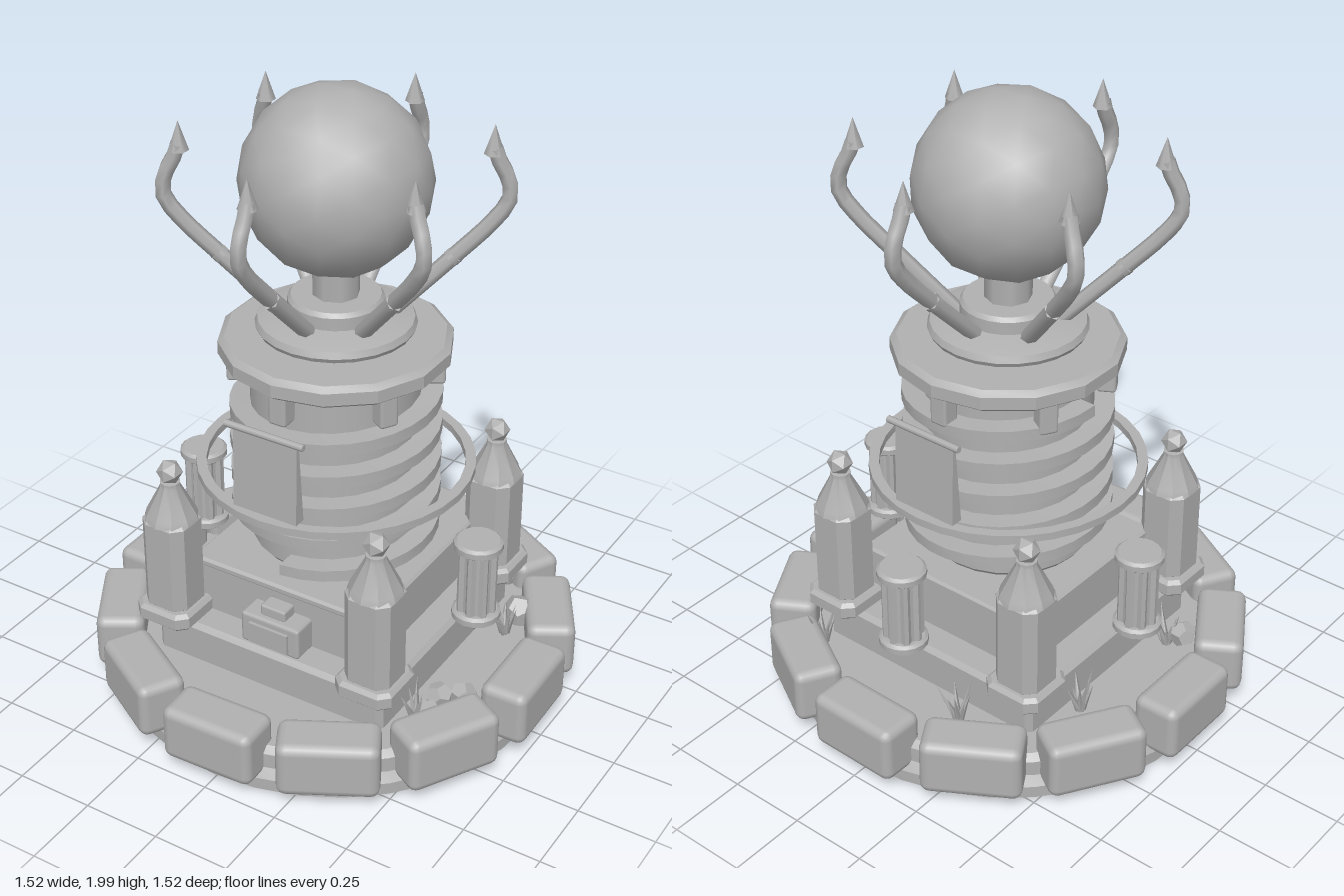
import * as THREE from 'three';
import { toCreasedNormals } from 'three/addons/utils/BufferGeometryUtils.js';
import { RoundedBoxGeometry } from 'three/addons/geometries/RoundedBoxGeometry.js';

export function createModel() {
  const model = new THREE.Group();
  model.name = 'orbTower';
  const stone = new THREE.MeshStandardMaterial({ color: 0xb0b0b0 });
  stone.name = 'grey stone';

  const add = (name, geo, x = 0, y = 0, z = 0, parent = model) => {
    const m = new THREE.Mesh(geo, stone);
    m.name = name;
    m.position.set(x, y, z);
    parent.add(m);
    return m;
  };
  const group = (name, x = 0, y = 0, z = 0, turn = 0) => {
    const g = new THREE.Group();
    g.name = name;
    g.position.set(x, y, z);
    g.rotation.y = turn;
    model.add(g);
    return g;
  };
  const lathe = (pts, sides, crease = 0.5) => toCreasedNormals(
    new THREE.LatheGeometry(pts.map(p => new THREE.Vector2(...p)), sides), crease);
  // square block with chamfered upright edges, rising from y = 0
  const chamferBlock = (half, cut, height, bevel) => {
    const s = new THREE.Shape(), h = half - bevel, c = h - cut;
    [[h, -c], [h, c], [c, h], [-c, h], [-h, c], [-h, -c], [-c, -h], [c, -h]]
      .forEach(([x, y], i) => (i ? s.lineTo(x, y) : s.moveTo(x, y)));
    return new THREE.ExtrudeGeometry(s, {
      depth: height - 2 * bevel, bevelEnabled: true, bevelSize: bevel,
      bevelThickness: bevel, bevelSegments: 1,
    }).translate(0, 0, bevel).rotateX(-Math.PI / 2);
  };
  let seed = 7;
  const rand = () => (seed = (seed * 16807) % 2147483647) / 2147483647;

  // round foundation
  add('foundation', lathe([[0, 0.005], [0.68, 0.005], [0.7, 0.02], [0.7, 0.06], [0.68, 0.09],
    [0.68, 0.14], [0.66, 0.16], [0, 0.16]], 32));

  // ring of border stones
  const border = group('borderStones');
  for (let i = 0; i < 12; i++) {
    const a = i * Math.PI / 6, r = 0.675 + rand() * 0.012;
    const s = add('borderStone', new RoundedBoxGeometry(0.31, 0.185, 0.155, 2, 0.03),
      Math.sin(a) * r, 0.155, Math.cos(a) * r, border);
    s.rotation.y = a + (rand() - 0.5) * 0.08;
  }

  // square plinth and block
  add('plinth', chamferBlock(0.41, 0.01, 0.15, 0.015), 0, 0.14, 0);
  add('block', new THREE.BoxGeometry(0.62, 0.18, 0.62), 0, 0.37, 0);
  add('blockLip', chamferBlock(0.325, 0.01, 0.03, 0.008), 0, 0.455, 0);

  // front step chest
  add('chest', new RoundedBoxGeometry(0.21, 0.11, 0.1, 1, 0.012), 0, 0.34, 0.34);
  add('chestPanel', new THREE.BoxGeometry(0.14, 0.07, 0.02), 0, 0.335, 0.39);
  add('chestTop', new RoundedBoxGeometry(0.09, 0.04, 0.06, 1, 0.008), 0, 0.41, 0.34);

  // corner turrets
  for (const x of [-0.365, 0.365]) for (const z of [-0.37, 0.37]) {
    const g = group('cornerTurret', x, 0, z);
    add('turretFoot', chamferBlock(0.098, 0.025, 0.06, 0.012), 0, 0.28, 0, g);
    add('turretBody', chamferBlock(0.078, 0.025, 0.32, 0.012), 0, 0.33, 0, g);
    add('turretRoof', lathe([[0, 0.64], [0.086, 0.64], [0.08, 0.66], [0.032, 0.755],
      [0.032, 0.77], [0, 0.775]], 10), 0, 0, 0, g);
    add('turretFinial', new THREE.IcosahedronGeometry(0.041, 0), 0, 0.803, 0, g);
  }

  // fluted drums on the sides and back
  for (const [x, z] of [[-0.505, 0], [0.505, 0], [0, -0.505]]) {
    const g = group('flutedDrum', x, 0, z);
    const cap = lathe([[0, 0], [0.066, 0], [0.076, 0.008], [0.076, 0.027], [0.066, 0.035], [0, 0.035]], 16);
    add('drumFoot', cap, 0, 0.37, 0, g);
    add('drumCap', cap, 0, 0.62, 0, g);
    const s = new THREE.Shape();
    for (let i = 0; i < 32; i++) {
      const a = i * Math.PI / 16, r = i % 4 < 2 ? 0.063 : 0.052;
      s[i ? 'lineTo' : 'moveTo'](Math.cos(a) * r, Math.sin(a) * r);
    }
    add('drumShaft', new THREE.ExtrudeGeometry(s, { depth: 0.23, bevelEnabled: false })
      .rotateX(-Math.PI / 2), 0, 0.4, 0, g);
  }

  // central column
  add('columnStem', new THREE.CylinderGeometry(0.1, 0.1, 0.08, 12), 0, 0.5, 0);
  add('column', lathe([[0, 0.515], [0.25, 0.515], [0.262, 0.53], [0.262, 1.12], [0.25, 1.135], [0, 1.135]], 24));
  add('columnNeck', new THREE.CylinderGeometry(0.2, 0.2, 0.06, 20), 0, 1.15, 0);

  // spiral band: a rectangular section swept up the column
  const turns = 4.75, steps = 140, pos = [], idx = [];
  const section = [[0.25, -0.02], [0.325, -0.02], [0.325, 0.018], [0.25, 0.018]];
  for (let i = 0; i <= steps; i++) {
    const t = i / steps, a = t * turns * Math.PI * 2;
    for (const [r, h] of section) pos.push(Math.sin(a) * r, 0.55 + t * 0.53 + h, Math.cos(a) * r);
    if (i < steps) for (let k = 0; k < 4; k++) {
      const p = i * 4 + k, q = i * 4 + (k + 1) % 4;
      idx.push(p, p + 4, q, q, p + 4, q + 4);
    }
  }
  const e = steps * 4;
  idx.push(0, 1, 2, 0, 2, 3, e, e + 2, e + 1, e, e + 3, e + 2);
  const spiral = new THREE.BufferGeometry();
  spiral.setAttribute('position', new THREE.Float32BufferAttribute(pos, 3));
  spiral.setIndex(idx);
  add('spiralBand', toCreasedNormals(spiral, 0.6));

  // thin floating hoop
  add('hoop', lathe([[0.4, 0.765], [0.432, 0.765], [0.432, 0.79], [0.4, 0.79], [0.4, 0.765]], 32));

  // banners at front and back
  for (const turn of [0, Math.PI]) {
    const g = group('banner', 0, 0, 0, turn);
    const cloth = new THREE.BoxGeometry(0.22, 0.27, 0.01, 1, 4, 1);
    const p = cloth.attributes.position;
    for (let i = 0; i < p.count; i++) {
      const down = (0.135 - p.getY(i)) / 0.27;
      p.setZ(i, p.getZ(i) * (1 + 3 * down) - 0.006 * down);
    }
    cloth.computeVertexNormals();
    add('bannerCloth', cloth, 0, 0.925, 0.385, g);
    add('bannerRod', new THREE.CylinderGeometry(0.011, 0.011, 0.27, 8).rotateZ(Math.PI / 2), 0, 1.063, 0.393, g);
    add('bannerTip', new THREE.ConeGeometry(0.035, 0.05, 6).rotateX(Math.PI), 0, 0.765, 0.385, g);
  }

  // upper gallery with brackets
  add('gallery', lathe([[0, 1.155], [0.335, 1.155], [0.355, 1.17], [0.355, 1.21], [0.335, 1.225], [0, 1.225]], 14, 0.3));
  for (let i = 0; i < 6; i++) {
    const a = i * Math.PI / 3;
    const b = add('galleryBracket', new RoundedBoxGeometry(0.06, 0.11, 0.06, 1, 0.01),
      Math.sin(a) * 0.3, 1.115, Math.cos(a) * 0.3);
    b.rotation.y = a;
  }
  add('collar', lathe([[0, 1.22], [0.2, 1.22], [0.2, 1.24], [0.235, 1.245], [0.243, 1.26], [0.235, 1.28],
    [0.2, 1.29], [0.145, 1.3], [0.145, 1.34], [0.135, 1.353], [0, 1.353]], 24));
  add('orbNeck', new THREE.CylinderGeometry(0.072, 0.072, 0.14, 8), 0, 1.4, 0);

  // smooth faceted orb
  const orb = new THREE.IcosahedronGeometry(0.285, 2);
  const on = orb.attributes.position.clone();
  for (let i = 0; i < on.array.length; i++) on.array[i] /= 0.285;
  orb.setAttribute('normal', on);
  add('orb', orb, 0, 1.715, 0);

  // six curved claws around the orb
  const clawPath = new THREE.CatmullRomCurve3([[0.155, 1.29], [0.34, 1.475], [0.45, 1.59], [0.496, 1.66],
    [0.492, 1.72], [0.462, 1.78], [0.448, 1.82]].map(([r, y]) => new THREE.Vector3(0, y, r)));
  for (let i = 0; i < 6; i++) {
    const g = group('claw', 0, 0, 0, i * Math.PI / 3);
    add('clawArm', new THREE.TubeGeometry(clawPath, 16, 0.025, 6), 0, 0, 0, g);
    add('clawPoint', new THREE.ConeGeometry(0.03, 0.09, 6), 0, 1.845, 0.447, g);
    const joint = add('clawJoint', new THREE.CylinderGeometry(0.028, 0.028, 0.02, 6), 0, 1.475, 0.34, g);
    joint.rotation.x = Math.PI / 4;
  }

  // spiky grass tufts
  for (const [x, z] of [[-0.2, -0.49], [-0.46, -0.22], [0.5, -0.22], [0.38, -0.47], [0.47, 0.3], [-0.48, 0.21]]) {
    const g = group('grassTuft', x, 0.15, z);
    for (let i = 0; i < 7; i++) {
      const h = 0.09 + rand() * 0.06;
      const blade = add('grassBlade', new THREE.ConeGeometry(0.014, h, 4).translate(0, h / 2, 0), 0, 0, 0, g);
      blade.rotation.set(0.2 + rand() * 0.4, i * 0.9, 0, 'YXZ');
    }
  }

  // small rocks
  for (const [x, z, r] of [[0.52, 0.31, 0.045], [0.56, 0.17, 0.04], [0.5, 0.21, 0.04], [0.51, -0.3, 0.05], [-0.52, 0.24, 0.04]]) {
    const rock = add('rock', new THREE.DodecahedronGeometry(r * 1.1, 0), x, 0.2, z);
    rock.rotation.set(rand() * 3, rand() * 3, 0);
  }
  return model;
}
